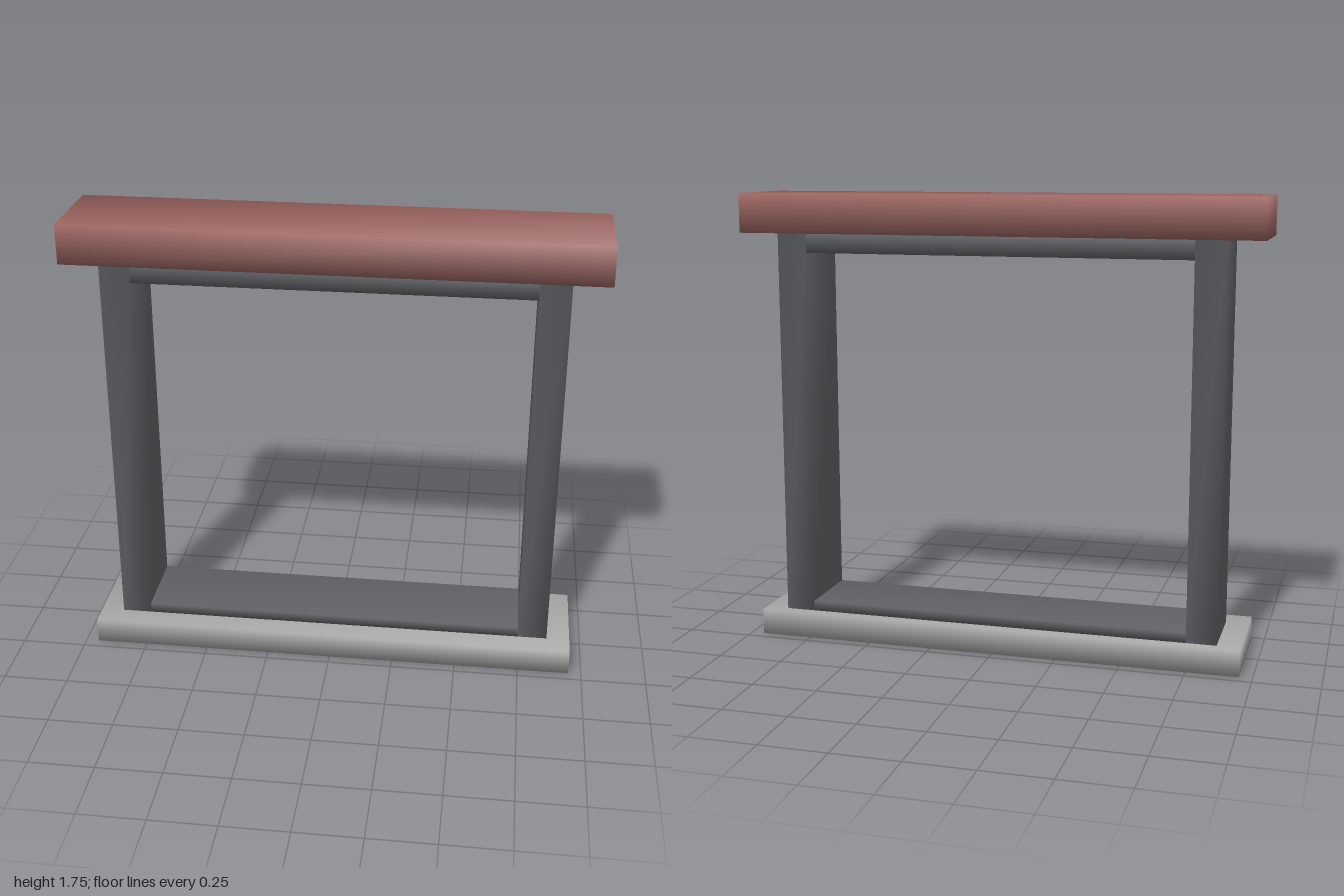
import * as THREE from 'three';
import { mergeVertices } from 'three/addons/utils/BufferGeometryUtils.js';

// Block given by its ranges, with normals smoothed across shared corners
function block(name, [x0, x1], [y0, y1], [z0, z1], material) {
  let geo = new THREE.BoxGeometry(x1 - x0, y1 - y0, z1 - z0);
  geo.deleteAttribute('normal');
  geo.deleteAttribute('uv');
  geo = mergeVertices(geo);
  geo.computeVertexNormals();
  const mesh = new THREE.Mesh(geo, material);
  mesh.name = name;
  mesh.position.set((x0 + x1) / 2, (y0 + y1) / 2, (z0 + z1) / 2);
  return mesh;
}

export function createModel() {
  const group = new THREE.Group();
  group.name = 'fireplaceSurround';

  const red = new THREE.MeshStandardMaterial({ color: 0x9a6460 });
  const dark = new THREE.MeshStandardMaterial({ color: 0x606165 });
  const stone = new THREE.MeshStandardMaterial({ color: 0xa3a6a3 });

  const depth = [-0.17, 0.125];
  const inner = 0.745, outer = 0.86;

  // Base slab and mantel shelf, flush at the back
  group.add(block('hearth', [-0.95, 0.95], [0, 0.1], [-0.21, 0.21], stone));
  group.add(block('mantel', [-1, 1], [1.6, 1.75], [-0.21, 0.165], red));

  // Side posts
  group.add(block('leftPost', [inner, outer], [0.1, 1.6], depth, dark));
  group.add(block('rightPost', [-outer, -inner], [0.1, 1.6], depth, dark));

  // Cross members between the posts
  group.add(block('lintel', [-inner, inner], [1.525, 1.6], depth, dark));
  group.add(block('sill', [-inner, inner], [0.1, 0.14], depth, dark));

  return group;
}
